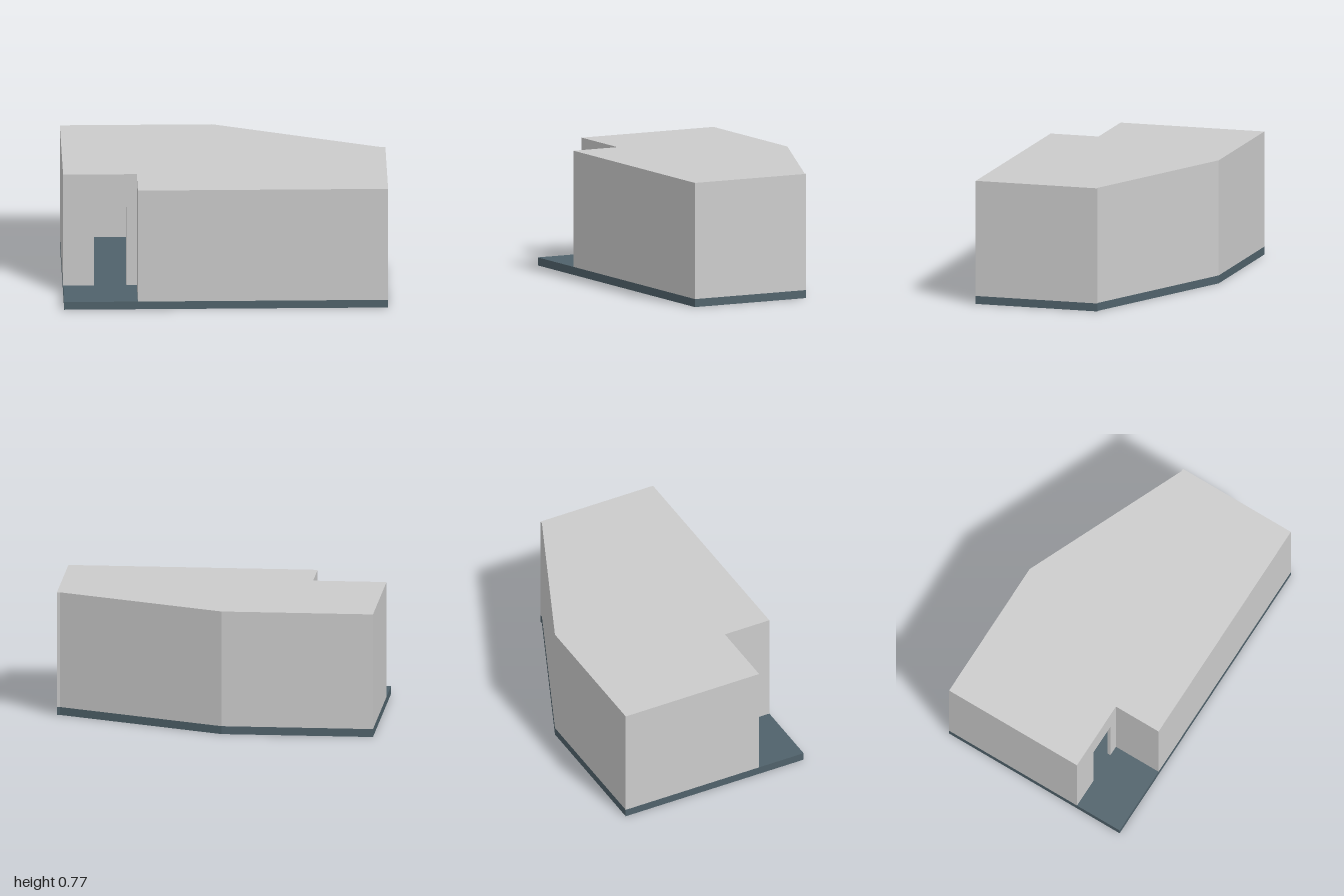
import * as THREE from 'three';

const T = 0.02;       // wall thickness
const FLOOR = 0.05;   // top of the base slab
const TOP = 0.775;    // top of the roof

const grey = new THREE.MeshStandardMaterial({ color: 0xcccccc });
const slate = new THREE.MeshStandardMaterial({ color: 0x50626b });

// Extrudes a plan outline given as [x, z] pairs from height y0 to y1
function plan(name, points, y0, y1, material) {
  const shape = new THREE.Shape(points.map(([x, z]) => new THREE.Vector2(x, -z)));
  const geometry = new THREE.ExtrudeGeometry(shape, { depth: y1 - y0, bevelEnabled: false });
  geometry.rotateX(-Math.PI / 2).translate(0, y0, 0);
  const mesh = new THREE.Mesh(geometry, material);
  mesh.name = name;
  return mesh;
}

export function createModel() {
  const group = new THREE.Group();
  group.name = 'building';

  // Right, back and slanted edge shared by slab, walls and roof
  const rear = [[1, 0.62], [1, -0.165], [0.98, -0.165], [-0.06, -0.62], [-1, -0.62]];
  const outline = [[-0.545, 0.31], [-0.545, 0.62], ...rear, [-1, 0.31]];
  const inner = [
    [-0.98, 0.29], [-0.98, -0.6], [-0.064, -0.6], [0.98, -0.144],
    [0.98, 0.6], [-0.525, 0.6], [-0.525, 0.29],
  ];

  group.add(plan('baseSlab', [[-1, 0.62], ...rear], 0, FLOOR, slate));
  group.add(plan('outerWalls', [...outline, ...inner], FLOOR, TOP - T, grey));
  group.add(plan('roof', outline, TOP - T, TOP, grey));

  // Recessed porch wall with a doorway, mitred into its neighbours
  const wall = new THREE.Shape([
    [-1, FLOOR], [-0.81, FLOOR], [-0.81, 0.56], [-0.61, 0.56], [-0.61, FLOOR],
    [-0.545, FLOOR], [-0.545, TOP - T], [-1, TOP - T],
  ].map(([x, y]) => new THREE.Vector2(x, y)));
  const geometry = new THREE.ExtrudeGeometry(wall, { depth: T, bevelEnabled: false });
  geometry.translate(0, 0, 0.31 - T);
  const p = geometry.attributes.position;
  for (let i = 0; i < p.count; i++) {
    const x = p.getX(i);
    const atEnd = x < -0.99 || x > -0.55;
    if (atEnd && p.getZ(i) < 0.3) p.setX(i, x + T);
  }
  geometry.computeVertexNormals();
  const porchWall = new THREE.Mesh(geometry, grey);
  porchWall.name = 'porchWall';
  group.add(porchWall);

  return group;
}
